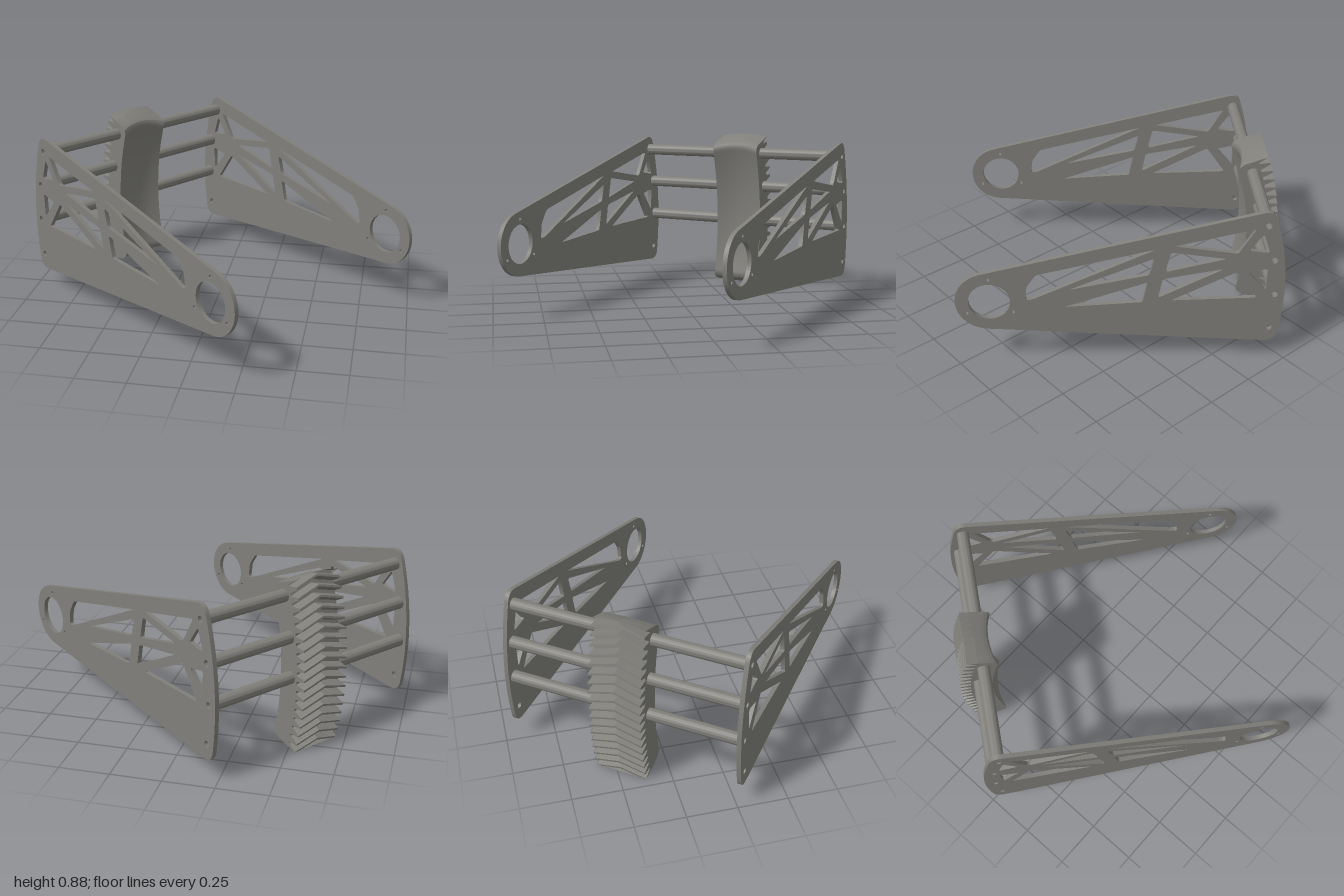
import * as THREE from 'three';
import { toCreasedNormals } from 'three/addons/utils/BufferGeometryUtils.js';

// Working frame: x runs from the toothed sector to the pivot, z along the rods.
const PIVOT = { x: 0.627, y: 0.377 };
const ROD_RADIUS = 1.367, STEP = 0.1455;   // rod holes sit on an arc about the pivot
const rad = THREE.MathUtils.degToRad;
const polar = (r, a) => [PIVOT.x + r * Math.cos(a), PIVOT.y + r * Math.sin(a)];
const rodPoint = (i) => polar(ROD_RADIUS, Math.PI - i * STEP);

const material = new THREE.MeshStandardMaterial({ color: 0x807f7a, side: THREE.DoubleSide });

function addMesh(parent, name, geometry, crease = 0.6) {
  const mesh = new THREE.Mesh(toCreasedNormals(geometry, crease), material);
  mesh.name = name;
  parent.add(mesh);
  return mesh;
}

// Closed polygon path with softened corners
function softPolygon(points, r = 0.015) {
  const path = new THREE.Path();
  const v = points.map(([x, y]) => new THREE.Vector2(x, y));
  v.forEach((p, i) => {
    const toward = (q) => p.clone().add(q.clone().sub(p).setLength(Math.min(r, p.distanceTo(q) * 0.45)));
    const a = toward(v[(i + v.length - 1) % v.length]);
    const b = toward(v[(i + 1) % v.length]);
    if (i === 0) path.moveTo(a.x, a.y); else path.lineTo(a.x, a.y);
    path.quadraticCurveTo(p.x, p.y, b.x, b.y);
  });
  path.closePath();
  return path;
}

function circle([x, y], r) {
  return new THREE.Path().absarc(x, y, r, 0, Math.PI * 2, false);
}

// Truss side plate: fan-shaped outline with web cutouts and bolt holes
function plateGeometry() {
  const shape = new THREE.Shape();
  shape.moveTo(-0.70, 0.099);
  shape.absarc(PIVOT.x, PIVOT.y, 0.162, rad(-85.2), rad(77), false);
  shape.lineTo(-0.655, 0.840);
  shape.quadraticCurveTo(-0.703, 0.852, ...polar(1.414, rad(162.5)));
  shape.absarc(PIVOT.x, PIVOT.y, 1.414, rad(162.5), rad(189.4), false);
  shape.quadraticCurveTo(-0.758, 0.094, -0.70, 0.099);

  const cutouts = [
    // pivot side of the upright strut
    [[-0.165, 0.655], [0.40, 0.525], [0.445, 0.46], [0.455, 0.38], [0.42, 0.385]],
    [[-0.16, 0.605], [0.25, 0.435], [-0.135, 0.51]],
    [[-0.13, 0.468], [0.27, 0.335], [-0.105, 0.352]],
    // hub side of the upright strut
    [[-0.63, 0.755], [-0.25, 0.67], [-0.55, 0.62]],
    [[-0.50, 0.592], [-0.235, 0.636], [-0.21, 0.525]],
    [[-0.49, 0.535], [-0.20, 0.485], [-0.178, 0.375]],
    [[-0.55, 0.515], [-0.24, 0.358], [-0.655, 0.362]],
    // gaps between the hub and the outer rim
    [[-0.665, 0.725], [-0.60, 0.635], [-0.70, 0.62]],
    [[-0.70, 0.53], [-0.605, 0.51], [-0.695, 0.405]],
  ];
  shape.holes.push(...cutouts.map((c) => softPolygon(c)));
  shape.holes.push(circle([PIVOT.x, PIVOT.y], 0.1));
  for (const a of [90, 210, 330]) shape.holes.push(circle(polar(0.128, rad(a)), 0.009));
  for (const i of [2, 1, 0, -1]) shape.holes.push(circle(rodPoint(i), 0.016));
  return new THREE.ExtrudeGeometry(shape, { depth: 0.022, bevelEnabled: false, curveSegments: 20 });
}

// Hollow spacer rod between the plates
function rodGeometry(length) {
  const ring = new THREE.Shape().absarc(0, 0, 0.031, 0, Math.PI * 2, false);
  ring.holes.push(circle([0, 0], 0.016));
  return new THREE.ExtrudeGeometry(ring, { depth: length, bevelEnabled: false, curveSegments: 16 })
    .translate(0, 0, -length / 2);
}

// Curved sector: hollowed inner face, chevron teeth on the outer face
function sectorGeometry() {
  const half = 0.135, top = 0.347, bottom = -0.262, teeth = 18, columns = 8;
  const pitch = (top - bottom) / teeth, slant = 0.025;
  const profile = [[0, 1.41], [0.34, 1.41], [0.58, 1.463], [0.78, 1.463]];
  const rows = (teeth + 3) * profile.length;
  const loops = [];
  for (let row = 0; row < rows; row++) {
    const [f, outer] = profile[row % profile.length];
    const toothAngle = bottom + (Math.floor(row / profile.length) - 1 + f) * pitch;
    const outerAt = (w) => {
      const end = top - 0.01 * (w / half) ** 2;   // crowned top end
      const angle = THREE.MathUtils.clamp(toothAngle - slant * Math.abs(w) / half, bottom, end);
      return [...polar(outer, Math.PI - angle), w];
    };
    const innerAt = (w) => {
      const end = top - 0.01 * (w / half) ** 2;
      const angle = THREE.MathUtils.lerp(bottom, end, row / (rows - 1));
      // the inner face rounds off toward both ends
      const edge = Math.min(angle - bottom, end - angle) * 1.3;
      const k = Math.max(0, 1 - edge / 0.04);
      const r = 1.30 + 0.03 * (1 - (w / half) ** 2) + 0.04 * (1 - Math.sqrt(1 - k * k));
      return [...polar(r, Math.PI - angle), w];
    };
    const loop = [];
    for (let c = 0; c <= columns; c++) loop.push(innerAt(half * (2 * c / columns - 1)));
    for (let c = columns; c >= 0; c--) loop.push(outerAt(half * (2 * c / columns - 1)));
    loops.push(loop);
  }
  const n = loops[0].length, index = [];
  for (let r = 0; r < rows - 1; r++) {
    for (let c = 0; c < n; c++) {
      const a = r * n + c, b = r * n + (c + 1) % n;
      index.push(a, b, b + n, a, b + n, a + n);
    }
  }
  // end caps join the inner edge to the outer edge
  const last = (rows - 1) * n;
  for (let c = 0; c < columns; c++) {
    const p = c, q = c + 1, s = n - 1 - c, u = n - 2 - c;
    index.push(p, u, q, p, s, u);
    index.push(last + p, last + q, last + u, last + p, last + u, last + s);
  }
  const geometry = new THREE.BufferGeometry();
  geometry.setAttribute('position', new THREE.Float32BufferAttribute(loops.flat(2), 3));
  geometry.setIndex(index);
  return geometry;
}

export function createModel() {
  const model = new THREE.Group();
  model.name = 'gearSectorFrame';
  const frame = new THREE.Group();
  frame.name = 'frame';
  frame.rotation.y = -0.66;
  model.add(frame);

  // matching side plates
  const plate = plateGeometry();
  addMesh(frame, 'frontSidePlate', plate).position.z = 0.595;
  addMesh(frame, 'rearSidePlate', plate).position.z = -0.617;

  // three rods through the sector
  const rod = rodGeometry(1.19);
  ['lowerRod', 'middleRod', 'upperRod'].forEach((name, i) => {
    const [x, y] = rodPoint(i);
    addMesh(frame, name, rod).position.set(x, y, 0);
  });

  addMesh(frame, 'toothedSector', sectorGeometry(), 0.45);
  return model;
}
